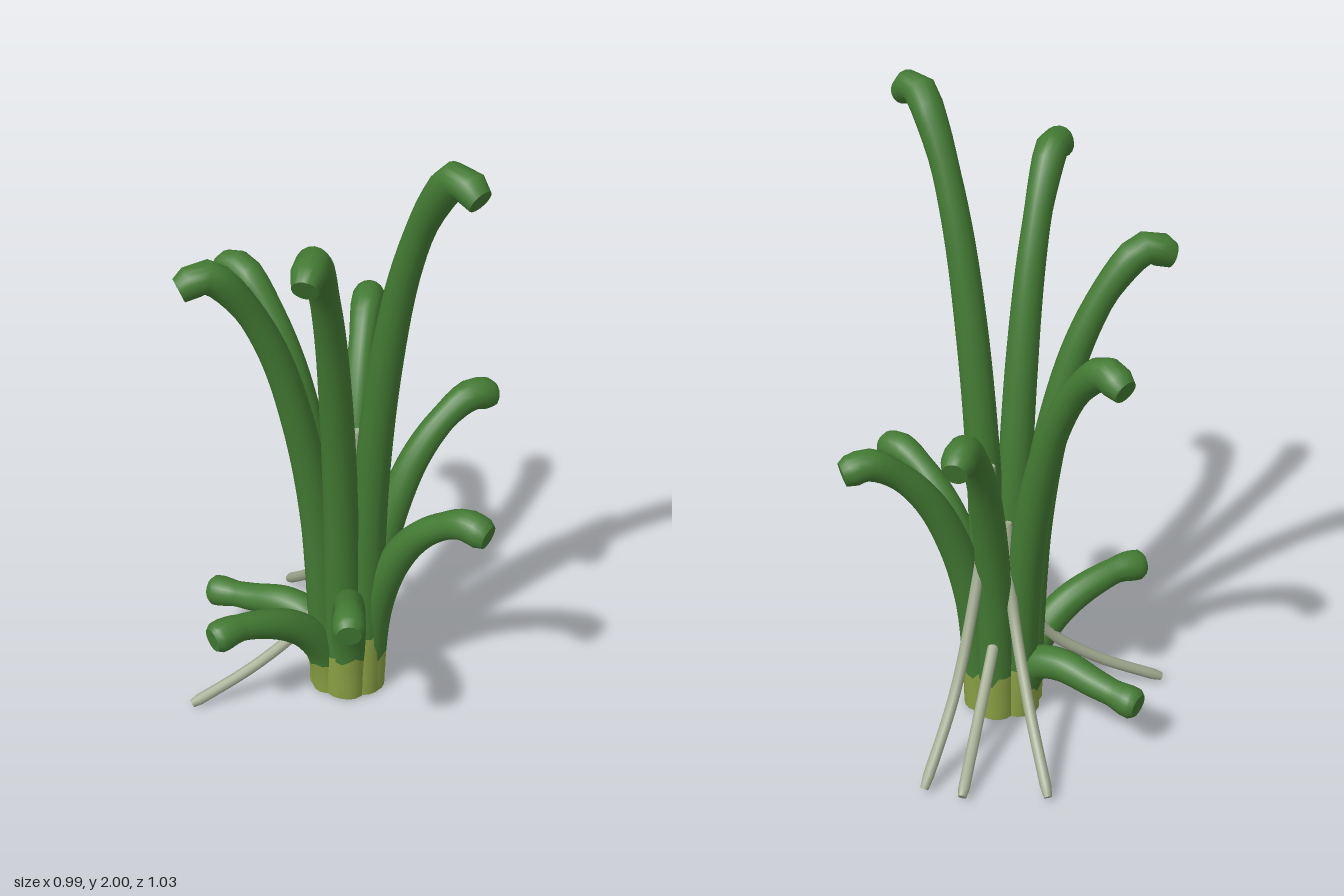
import * as THREE from 'three';

const V = (x, y, z) => new THREE.Vector3(x, y, z);
const green = new THREE.MeshStandardMaterial({ name: 'leaf green', color: 0x437a33 });
const lime = new THREE.MeshStandardMaterial({ name: 'pale base green', color: 0x8aa044 });
const grey = new THREE.MeshStandardMaterial({ name: 'root grey', color: 0xa2aa90 });

// Small seeded generator for the ragged colour edge
let seed = 7;
const rand = () => (seed = (seed * 16807) % 2147483647) / 2147483647;

// Piecewise-linear lookup in [position, value] pairs
function lookup(table, s) {
  for (let i = 1; i < table.length; i++) {
    const [a, va] = table[i - 1], [b, vb] = table[i];
    if (s <= b) return va + (vb - va) * (s - a) / (b - a);
  }
  return table[table.length - 1][1];
}

// Tapered tube along a curve; start and end may vary for each side (functions of j)
function taperedTube(curve, side, radius, start, end, rings, sides, capStart, capEnd) {
  const pos = [], idx = [];
  const addRing = (sAt) => {
    for (let j = 0; j < sides; j++) {
      const s = sAt(j), a = j / sides * Math.PI * 2;
      const t = curve.getTangentAt(s);
      const up = t.clone().cross(side).normalize();
      const across = up.clone().cross(t);
      const p = curve.getPointAt(s);
      p.addScaledVector(across, Math.cos(a) * radius(s)).addScaledVector(up, Math.sin(a) * radius(s));
      pos.push(p.x, p.y, p.z);
    }
  };
  for (let i = 0; i <= rings; i++) {
    addRing((j) => THREE.MathUtils.lerp(start(j), end(j), i / rings));
  }
  for (let i = 0; i < rings; i++) {
    for (let j = 0; j < sides; j++) {
      const k = (j + 1) % sides, a = i * sides, b = a + sides;
      idx.push(a + j, a + k, b + k, a + j, b + k, b + j);
    }
  }
  // Flat ends with their own vertices, so the rim stays crisp
  const cap = (s) => {
    const first = pos.length / 3;
    addRing(() => s);
    const c = curve.getPointAt(s);
    pos.push(c.x, c.y, c.z);
    for (let j = 0; j < sides; j++) {
      const k = (j + 1) % sides;
      idx.push(first + sides, first + (s ? j : k), first + (s ? k : j));
    }
  };
  if (capStart) cap(0);
  if (capEnd) cap(1);
  const geo = new THREE.BufferGeometry();
  geo.setAttribute('position', new THREE.Float32BufferAttribute(pos, 3));
  geo.setIndex(idx);
  geo.computeVertexNormals();
  return geo;
}

function addMesh(group, geo, mat, name) {
  const m = new THREE.Mesh(geo, mat);
  m.name = name;
  group.add(m);
}

// Arching stalk outline: [share of reach, share of height]
const arch = [[0, 0], [0.02, 0.2], [0.07, 0.42], [0.2, 0.65], [0.38, 0.83], [0.6, 0.95], [0.82, 1.01], [1, 0.99]];
const lowArch = [[0, 0], [0.02, 0.55], [0.13, 0.98], [0.35, 1.14], [0.65, 1.03], [1, 0.92]];
const stalkTaper = [[0, 0.058], [0.3, 0.056], [0.6, 0.05], [0.84, 0.042], [0.93, 0.05], [0.975, 0.05], [1, 0.038]];

// Stalks: tip x, tip z, tip height, length of the pale base
const stalks = [
  [-0.01, 0.5, 1.95, 0.24], [0.1, 0.485, 0.77, 0.13],
  [-0.425, 0.26, 1.75, 0.17], [-0.345, 0.345, 0.57, 0.16],
  [-0.45, -0.225, 1.56, 0.16], [-0.49, -0.1, 0.38, 0.14],
  [-0.045, -0.5, 1.36, 0.16], [-0.16, -0.475, 0.2, 0.1],
  [0.4, -0.3, 1.16, 0.15], [0.475, 0.16, 0.96, 0.14],
];

// Aerial roots, from the hidden upper end to the ground
const roots = [
  [[0.065, 0.92, -0.025], [0.085, 0.75, -0.03], [0.15, 0.53, -0.06], [0.29, 0.24, -0.135], [0.48, 0.02, -0.23]],
  [[0.03, 0.72, -0.06], [0.035, 0.6, -0.075], [0.055, 0.43, -0.125], [0.125, 0.2, -0.295], [0.205, 0.02, -0.49]],
  [[0.03, 0.42, -0.03], [0.1, 0.3, -0.08], [0.23, 0.16, -0.18], [0.41, 0.02, -0.33]],
  [[-0.03, 0.42, -0.03], [-0.13, 0.25, -0.07], [-0.27, 0.13, -0.14], [-0.465, 0.02, -0.24]],
];

export function createModel() {
  const model = new THREE.Group();
  model.name = 'stalkPlant';

  // Stalks with a ragged pale sheath at the foot
  stalks.forEach(([x, z, h, pale], n) => {
    const g = new THREE.Group();
    g.name = 'stalk' + (n + 1);
    const reach = Math.hypot(x, z), dx = x / reach, dz = z / reach;
    const outline = h < 0.3 ? lowArch : arch;
    const curve = new THREE.CatmullRomCurve3(outline.map(([u, v]) => {
      const r = 0.07 + u * (reach - 0.07);
      return V(dx * r, 0.012 + v * (h - 0.012), dz * r);
    }));
    const side = V(-dz, 0, dx);
    const length = curve.getLength(), sides = 16;
    const edge = Array.from({ length: sides }, () => (pale + (rand() - 0.5) * 0.05) / length);
    const radius = (s) => lookup(stalkTaper, s);
    addMesh(g, taperedTube(curve, side, radius, () => 0, (j) => edge[j], 4, sides, true, false), lime, 'sheath');
    addMesh(g, taperedTube(curve, side, radius, (j) => edge[j], () => 1, 36, sides, false, true), green, 'blade');
    model.add(g);
  });

  // Core filling the middle of the clump
  const core = new THREE.CylinderGeometry(0.05, 0.08, 0.3, 12);
  core.translate(0, 0.158, 0);
  addMesh(model, core, green, 'core');

  // Thin roots
  roots.forEach((pts, n) => {
    const curve = new THREE.CatmullRomCurve3(pts.map((p) => V(...p)));
    const tip = pts[pts.length - 1];
    const side = V(-tip[2], 0, tip[0]).normalize();
    const radius = (s) => lookup([[0, 0.014], [0.04, 0.018], [0.96, 0.018], [1, 0.013]], s);
    addMesh(model, taperedTube(curve, side, radius, () => 0, () => 1, 24, 10, true, true), grey, 'root' + (n + 1));
  });

  return model;
}
